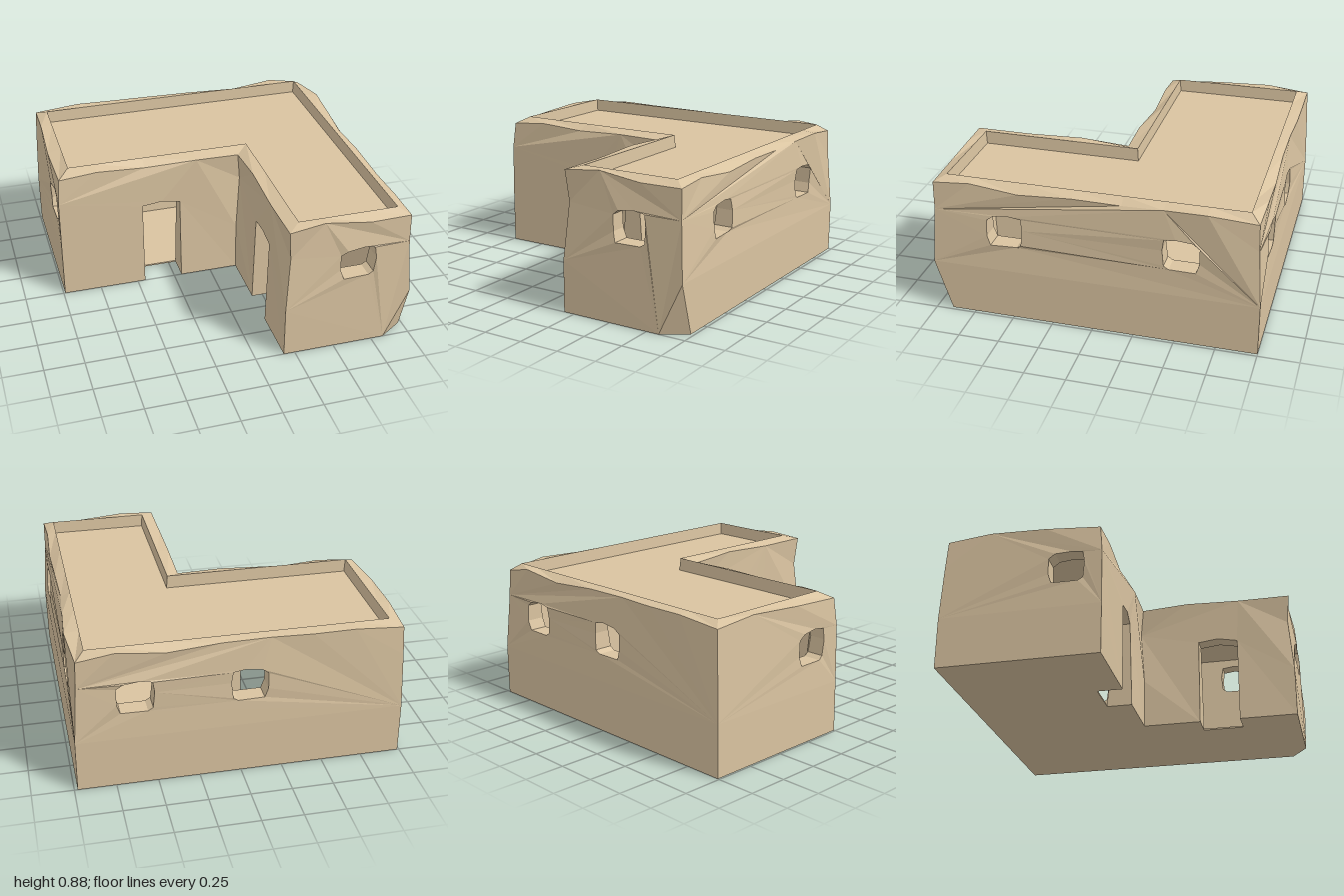
import * as THREE from 'three';

const H = 0.88, ROOF = 0.8;
const clay = new THREE.MeshStandardMaterial({ color: 0xd9c3a0, flatShading: true });

// Plan corners [x, z]; the outside lies to the right-hand side of each run
const corners = [[-0.99, 0], [0.18, 0], [0.18, 1], [0.98, 1], [0.98, -1], [-0.99, -1]];

// Openings of each wall, measured along it; chip = [width at start, width at end]
const walls = [
  { name: 'frontWall', door: [0.54, 0.79] },
  { name: 'courtyardWall', door: [0.37, 0.63] },
  { name: 'wingFrontWall', windows: [0.45], chip: [0, 0.15] },
  { name: 'rightWall', windows: [0.465, 1.53], chip: [0.1, 0] },
  { name: 'backWall', windows: [0.36, 1.03] },
  { name: 'leftWall', windows: [0.78] },
];
const CHIP = 0.32, DOOR = 0.575, SILL = 0.585;
const windowOutline = [[-0.11, -0.04], [-0.09, -0.1], [0.07, -0.1], [0.1, -0.08],
  [0.11, 0.02], [0.1, 0.09], [0.03, 0.1], [-0.07, 0.09], [-0.11, 0.06]];

const count = corners.length;
const at = i => corners[(i + count) % count];
function run(i) {
  const [ax, az] = at(i), [bx, bz] = at(i + 1);
  const length = Math.hypot(bx - ax, bz - az);
  const dx = (bx - ax) / length, dz = (bz - az) / length;
  return { ax, az, dx, dz, length, nx: dz, nz: -dx }; // n points inward
}

// Repeatable value 0..1 for a place, so neighbouring walls weather alike
function weather(x, y, z) {
  const s = Math.sin(Math.round(x * 100) * 12.99 + Math.round(y * 100) * 78.23 + Math.round(z * 100) * 37.72) * 43758.55;
  return s - Math.floor(s);
}

const thickness = y => 0.16 - 0.08 * y;

function wallShape({ door, windows = [], chip = [0, 0] }, length) {
  const pts = [];
  const add = (...list) => list.forEach(p => pts.push(new THREE.Vector2(...p)));
  if (chip[0]) add([chip[0], 0]); else add([0, 0]);
  if (door) add([door[0], 0], [door[0], DOOR], [(door[0] + door[1]) / 2, DOOR + 0.015], [door[1], DOOR - 0.01], [door[1], 0]);
  if (chip[1]) add([length - chip[1], 0]); else add([length, 0]);
  add([length, CHIP], [length, 0.67], [length, H]);
  // Extra points make the parapet edge uneven
  const steps = Math.max(2, Math.round(length / 0.3));
  for (let k = steps - 1; k > 0; k--) add([length * (k + 0.12 * Math.sin(k * 5)) / steps, H]);
  add([0, H], [0, 0.67], [0, CHIP]);
  const shape = new THREE.Shape(pts);
  windows.forEach((u, n) => shape.holes.push(new THREE.Path(windowOutline.map(([a, b]) =>
    new THREE.Vector2(u + (n % 2 ? -a : a), SILL + b)))));
  return shape;
}

function buildWall(i) {
  const r = run(i), prev = run((i + count - 1) % count), next = run((i + 1) % count);
  const geo = new THREE.ExtrudeGeometry(wallShape(walls[i], r.length), { depth: 1, bevelEnabled: false });
  const p = geo.attributes.position;
  for (let k = 0; k < p.count; k++) {
    const u = p.getX(k), v = p.getY(k), outer = p.getZ(k) > 0.5;
    const start = u < 1e-4, end = u > r.length - 1e-4, top = v > H - 1e-4;
    const x = r.ax + r.dx * u, z = r.az + r.dz * u;
    let depth = thickness(v), y = v;
    if (outer) {
      // Worn outer face: corners and the top edge recede most
      const h = weather(x, v, z);
      const fixed = v < 1e-4 || Math.abs(v - CHIP) < 1e-4;
      depth = fixed ? 0 : h * (start || end || top ? 0.035 : 0.015);
      if (top) y -= 0.045 * weather(z, v, x);
    }
    // Mitre the ends with the neighbouring wall
    const m = start ? prev : end ? next : { nx: 0, nz: 0 };
    p.setXYZ(k, x + (r.nx + m.nx) * depth, y, z + (r.nz + m.nz) * depth);
  }
  geo.computeVertexNormals();
  const mesh = new THREE.Mesh(geo, clay);
  mesh.name = walls[i].name;
  return mesh;
}

// Flat slab following the plan, inset from the outer faces
function slab(name, inset, bottom, top) {
  const shape = new THREE.Shape(corners.map(([x, z], i) => {
    const a = run((i + count - 1) % count), b = run(i);
    return new THREE.Vector2(x + (a.nx + b.nx) * inset, -(z + (a.nz + b.nz) * inset));
  }));
  const geo = new THREE.ExtrudeGeometry(shape, { depth: top - bottom, bevelEnabled: false });
  geo.rotateX(-Math.PI / 2).translate(0, bottom, 0);
  const mesh = new THREE.Mesh(geo, clay);
  mesh.name = name;
  return mesh;
}

// Broken-off foot of the front corner
function chippedCorner() {
  const [x, z] = corners[3];
  const a = [x - 0.15, 0, z], b = [x, 0, z - 0.1], c = [x, CHIP, z], e = [x - 0.16, 0, z - 0.16];
  const geo = new THREE.BufferGeometry();
  geo.setAttribute('position', new THREE.Float32BufferAttribute([a, b, c, a, e, b].flat(), 3));
  geo.computeVertexNormals();
  const mesh = new THREE.Mesh(geo, clay);
  mesh.name = 'chippedCorner';
  return mesh;
}

export function createModel() {
  const house = new THREE.Group();
  house.name = 'adobeHouse';
  walls.forEach((_, i) => house.add(buildWall(i)));
  house.add(slab('roof', 0.09, ROOF - 0.06, ROOF));
  house.add(slab('floor', 0.158, 0, 0.01));
  house.add(chippedCorner());
  return house;
}
